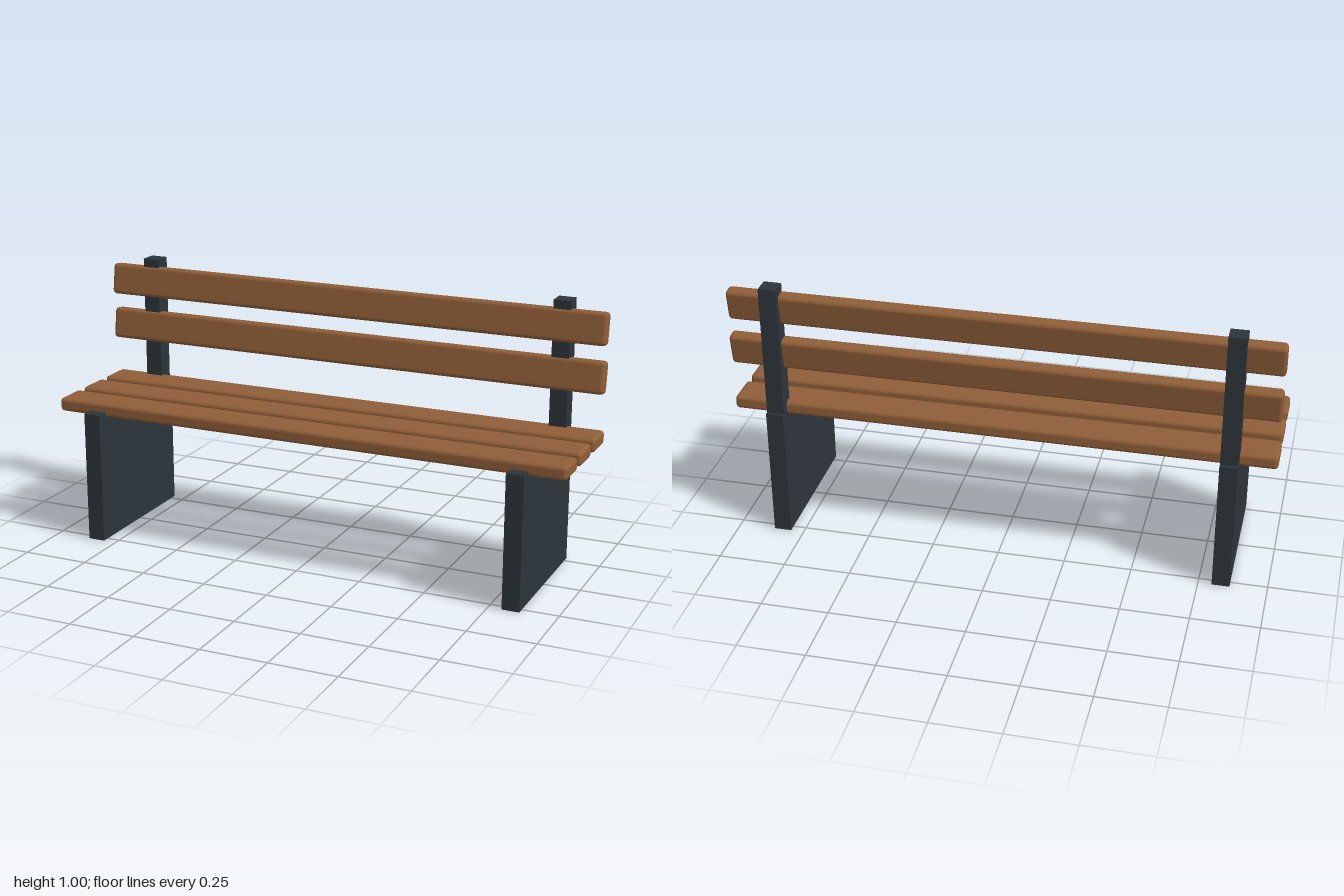
import * as THREE from 'three';
import { RoundedBoxGeometry } from 'three/addons/geometries/RoundedBoxGeometry.js';

export function createModel() {
  const bench = new THREE.Group();
  bench.name = 'bench';

  const wood = new THREE.MeshStandardMaterial({ color: 0x8f5e38 });
  wood.name = 'warm wood';
  const iron = new THREE.MeshStandardMaterial({ color: 0x2d353b });
  iron.name = 'dark iron';

  const add = (name, geometry, material, x, y, z) => {
    const mesh = new THREE.Mesh(geometry, material);
    mesh.name = name;
    mesh.position.set(x, y, z);
    bench.add(mesh);
    return mesh;
  };

  // Side panels with the backrest posts standing on them
  const panel = new THREE.BoxGeometry(0.065, 0.5, 0.555);
  const post = new THREE.BoxGeometry(0.065, 0.5, 0.066);
  for (const [side, x] of [['left', 0.832], ['right', -0.832]]) {
    add(`${side}LegPanel`, panel, iron, x, 0.25, 0);
    add(`${side}BackPost`, post, iron, x, 0.75, -0.232);
  }

  // Seat slats, front to back
  const seatSlat = new RoundedBoxGeometry(2, 0.052, 0.13, 2, 0.015);
  [0.167, 0, -0.167].forEach((z, i) => {
    add(`seatSlat${i + 1}`, seatSlat, wood, 0, 0.507, z);
  });

  // Backrest slats, leaning back
  const backSlat = new RoundedBoxGeometry(2, 0.12, 0.052, 2, 0.015);
  [0.731, 0.909].forEach((y, i) => {
    add(`backSlat${i + 1}`, backSlat, wood, 0, y, -0.211).rotation.x = -0.15;
  });

  return bench;
}
